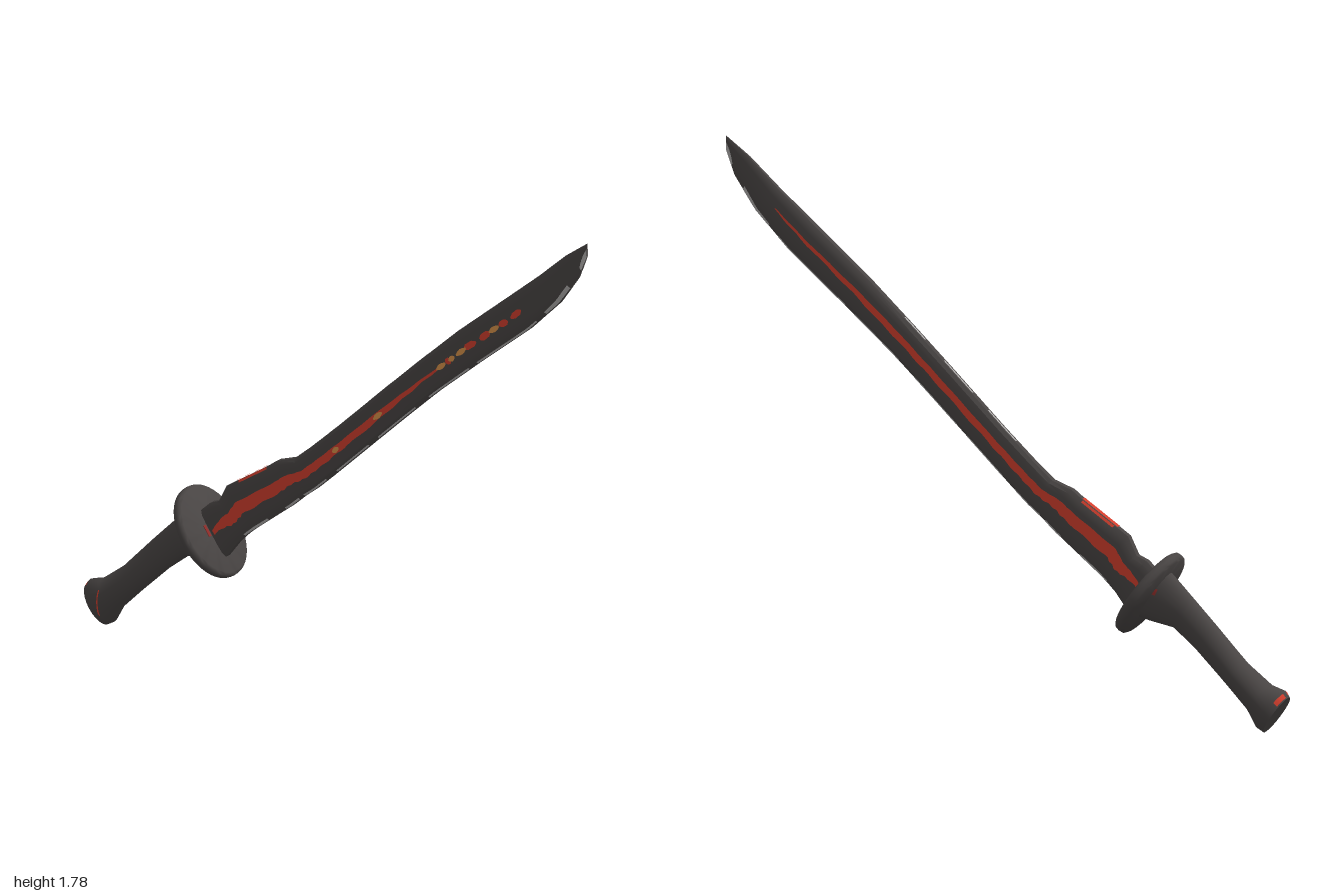
import * as THREE from 'three';
import { toCreasedNormals } from 'three/addons/utils/BufferGeometryUtils.js';

// Sections: [upper x, upper y, lower x, lower y, half depth in z]
const BLADE = [
  [-0.56, 0.475, -0.455, 0.335, 0.021], [-0.5, 0.53, -0.39, 0.42, 0.021],
  [-0.465, 0.545, -0.35, 0.46, 0.021], [-0.435, 0.605, -0.32, 0.485, 0.021],
  [-0.275, 0.71, -0.18, 0.595, 0.021], [-0.235, 0.74, -0.13, 0.64, 0.021],
  [-0.165, 0.765, -0.08, 0.68, 0.021], [-0.1, 0.82, -0.02, 0.735, 0.021],
  [0.01, 0.92, 0.08, 0.83, 0.021], [0.195, 1.096, 0.27, 1.01, 0.021],
  [0.33, 1.222, 0.405, 1.135, 0.021], [0.49, 1.368, 0.57, 1.275, 0.021],
  [0.675, 1.522, 0.77, 1.44, 0.02], [0.81, 1.635, 0.89, 1.56, 0.016],
  [0.915, 1.73, 0.965, 1.665, 0.009], [0.997, 1.79, 0.997, 1.745, 0.002],
];
const HANDLE = [
  [-1.0, 0.125, -0.915, 0.005, 0.047], [-0.985, 0.145, -0.89, 0.02, 0.055],
  [-0.935, 0.16, -0.86, 0.075, 0.055], [-0.85, 0.225, -0.785, 0.15, 0.046],
  [-0.74, 0.34, -0.67, 0.26, 0.036], [-0.65, 0.43, -0.595, 0.32, 0.036],
  [-0.585, 0.495, -0.51, 0.335, 0.04], [-0.56, 0.51, -0.457, 0.35, 0.042],
];
// Half profiles from upper to lower side: [t, relative depth]
const BLADE_PROFILE = [[1, 0.5], [0.8, 0.9], [0.5, 1], [-0.5, 1], [-0.8, 0.9], [-1, 0.5]];
const ROUND_PROFILE = Array.from({ length: 13 }, (_, i) => {
  const a = (Math.PI * i) / 12;
  return [Math.cos(a), Math.sin(a)];
});

// Point on a section at t = 1 (upper) to -1 (lower)
function sectionPoint(sec, t, z) {
  const k = (1 - t) / 2;
  return [sec[0] + (sec[2] - sec[0]) * k, sec[1] + (sec[3] - sec[1]) * k, z * sec[4]];
}

function sectionAt(sections, s) {
  const i = Math.min(Math.floor(s), sections.length - 2);
  return sections[i].map((v, k) => v + (sections[i + 1][k] - v) * (s - i));
}

function depthAt(profile, t) {
  for (let i = 0; i < profile.length - 1; i++) {
    const [a, za] = profile[i], [b, zb] = profile[i + 1];
    if (t <= a && t >= b) return za + ((zb - za) * (a - t)) / (a - b);
  }
  return 0;
}

function buildGeometry(positions, index) {
  const g = new THREE.BufferGeometry();
  g.setAttribute('position', new THREE.Float32BufferAttribute(positions, 3));
  g.setIndex(index);
  g.computeVertexNormals();
  return g;
}

// Closed solid through the sections
function loft(sections, profile, crease) {
  const back = profile.filter(([, z]) => z > 1e-6).reverse().map(([t, z]) => [t, -z]);
  const ring = [...profile, ...back];
  const n = ring.length, pos = [], idx = [];
  sections.forEach((sec) => ring.forEach(([t, z]) => pos.push(...sectionPoint(sec, t, z))));
  for (let j = 0; j < sections.length - 1; j++) {
    for (let i = 0; i < n; i++) {
      const a = j * n + i, b = j * n + ((i + 1) % n);
      idx.push(a, b, b + n, a, b + n, a + n);
    }
  }
  const last = (sections.length - 1) * n, c0 = sections.length * n;
  pos.push(...sectionPoint(sections[0], 0, 0), ...sectionPoint(sections.at(-1), 0, 0));
  for (let i = 0; i < n; i++) {
    const k = (i + 1) % n;
    idx.push(c0, k, i, c0 + 1, last + i, last + k);
  }
  return toCreasedNormals(buildGeometry(pos, idx), crease);
}

// Thin painted strip lying on one face; bounds(s, u) gives its lower and upper t
function strip(sections, profile, s0, s1, bounds, side, lift = 0.002) {
  const rows = Math.max(4, Math.ceil((s1 - s0) * 8)), cols = 4, pos = [], idx = [];
  for (let j = 0; j <= rows; j++) {
    const u = j / rows, s = s0 + (s1 - s0) * u, sec = sectionAt(sections, s);
    const [lo, hi] = bounds(s, u);
    for (let i = 0; i <= cols; i++) {
      const t = lo + ((hi - lo) * i) / cols;
      const p = sectionPoint(sec, t, depthAt(profile, t));
      pos.push(p[0], p[1], side * (p[2] + lift));
      if (j < rows && i < cols) {
        const a = j * (cols + 1) + i, d = a + cols + 1;
        if (side > 0) idx.push(a, d, d + 1, a, d + 1, a + 1);
        else idx.push(a, d + 1, d, a, a + 1, d + 1);
      }
    }
  }
  return buildGeometry(pos, idx);
}

// Thin painted strip along the narrow spine of the blade
function spineStrip(s0, s1, z0, z1) {
  const pos = [], idx = [], rows = 6;
  for (let j = 0; j <= rows; j++) {
    const sec = sectionAt(BLADE, s0 + ((s1 - s0) * j) / rows);
    pos.push(...sectionPoint(sec, 1.03, z0), ...sectionPoint(sec, 1.03, z1));
    if (j < rows) idx.push(2 * j, 2 * j + 1, 2 * j + 3, 2 * j, 2 * j + 3, 2 * j + 2);
  }
  return buildGeometry(pos, idx);
}

export function createModel() {
  const model = new THREE.Group();
  model.name = 'sword';
  const material = (name, color, side = THREE.DoubleSide) => {
    const m = new THREE.MeshStandardMaterial({ color, side });
    m.name = name;
    return m;
  };
  const dark = material('dark steel', 0x484443, THREE.FrontSide);
  const red = material('glowing red', 0xd23e2d);
  const deepRed = material('deep red', 0x8c2c28);
  const orange = material('ember orange', 0xd8934a);
  const silver = material('worn silver', 0xaeacab);
  const add = (name, geometry, mat, parent = model) => {
    const mesh = new THREE.Mesh(geometry, mat);
    mesh.name = name;
    parent.add(mesh);
    return mesh;
  };
  const onBlade = (name, mat, s0, s1, bounds, side, lift) =>
    add(name, strip(BLADE, BLADE_PROFILE, s0, s1, bounds, side, lift), mat);
  const onHandle = (name, mat, s0, s1, bounds, side) =>
    add(name, strip(HANDLE, ROUND_PROFILE, s0, s1, bounds, side), mat);

  add('blade', loft(BLADE, BLADE_PROFILE, 0.5), dark);
  add('handle', loft(HANDLE, ROUND_PROFILE, 0.75), dark);

  // Oval disc guard, square to the blade
  const guard = new THREE.Group();
  guard.name = 'guard';
  guard.position.set(-0.508, 0.426, 0);
  guard.rotation.z = THREE.MathUtils.degToRad(-54);
  guard.scale.z = 0.84;
  model.add(guard);
  const rim = [[0, -0.018], [0.151, -0.018], [0.159, -0.012], [0.161, 0],
    [0.159, 0.012], [0.151, 0.018], [0, 0.018]].map(([x, y]) => new THREE.Vector2(x, y));
  add('guardDisc', toCreasedNormals(new THREE.LatheGeometry(rim, 48), 0.8), dark, guard);
  for (const side of [1, -1]) {
    const fleck = add('guardFleck', new THREE.BoxGeometry(0.04, 0.003, 0.014), deepRed, guard);
    fleck.position.set(-0.005, 0.0185, side * 0.038);
  }

  // Ragged red groove: broken near the tip on the front, unbroken on the back
  const groove = (offset) => (s, u) => {
    const k = Math.min(1, 0.3 + u * 6, 0.25 + (1 - u) * 4);
    const w = (0.29 - 0.01 * s) * k, ragged = 0.03 * Math.sin(s * 11);
    return [offset - w + ragged, offset + w + ragged * 0.4];
  };
  const frontRuns = [[0.45, 10.4], [10.5, 10.62], [10.95, 11.2], [11.28, 11.5],
    [11.68, 11.85], [11.92, 12.2]];
  frontRuns.forEach(([a, b]) => onBlade('frontGroove', red, a, b, groove(0), 1));
  onBlade('backGroove', red, 0.45, 12.75, groove(0.06), -1);

  // Orange embers within the front groove
  const ember = (s, u) => {
    const w = 0.04 + 0.12 * Math.sin(Math.PI * u);
    return [-w, w];
  };
  [[7.55, 7.78], [8.62, 8.8], [10.28, 10.5], [10.58, 10.72], [10.76, 11.0], [11.48, 11.68]]
    .forEach(([a, b]) => onBlade('ember', orange, a, b, ember, 1, 0.004));

  // Worn edges and red spine marks, on both faces
  const wear = [[1.8, 3.4], [3.9, 4.8], [5.2, 6.8], [7.3, 8.3], [8.5, 9.4], [9.8, 10.8], [11, 12.3]];
  for (const side of [1, -1]) {
    wear.forEach(([a, b]) => onBlade('edgeWear', silver, a, b, () => [-1, -0.91], side));
    onBlade('edgeWear', silver, 12.6, 13.6, (s, u) => [-1, -0.85 + 0.15 * u], side);
    onBlade('tipWear', silver, 14.35, 15, (s, u) => [-1, -0.7 + 0.9 * u], side);
    onBlade('spineMark', red, 3.3, 4, () => [0.9, 1], side);
  }
  add('spineRedMark', spineStrip(3.25, 4.1, -0.45, 0.45), red);
  [[7.6, 8.3], [8.6, 9.2], [9.7, 10.2]].forEach(([a, b]) =>
    add('spineWear', spineStrip(a, b, -0.35, 0.05), silver));

  // Red marks on the handle
  onHandle('pommelLine', red, 0.95, 2, (s, u) => [u - 0.56, u - 0.44], 1);
  onHandle('pommelMark', red, 0.15, 0.8, () => [0.55, 0.97], -1);
  onHandle('pommelTopMark', red, 0.4, 0.9, () => [0.88, 0.99], 1);
  onHandle('handleMark', deepRed, 6.2, 6.9, () => [0.1, 0.35], -1);
  return model;
}
